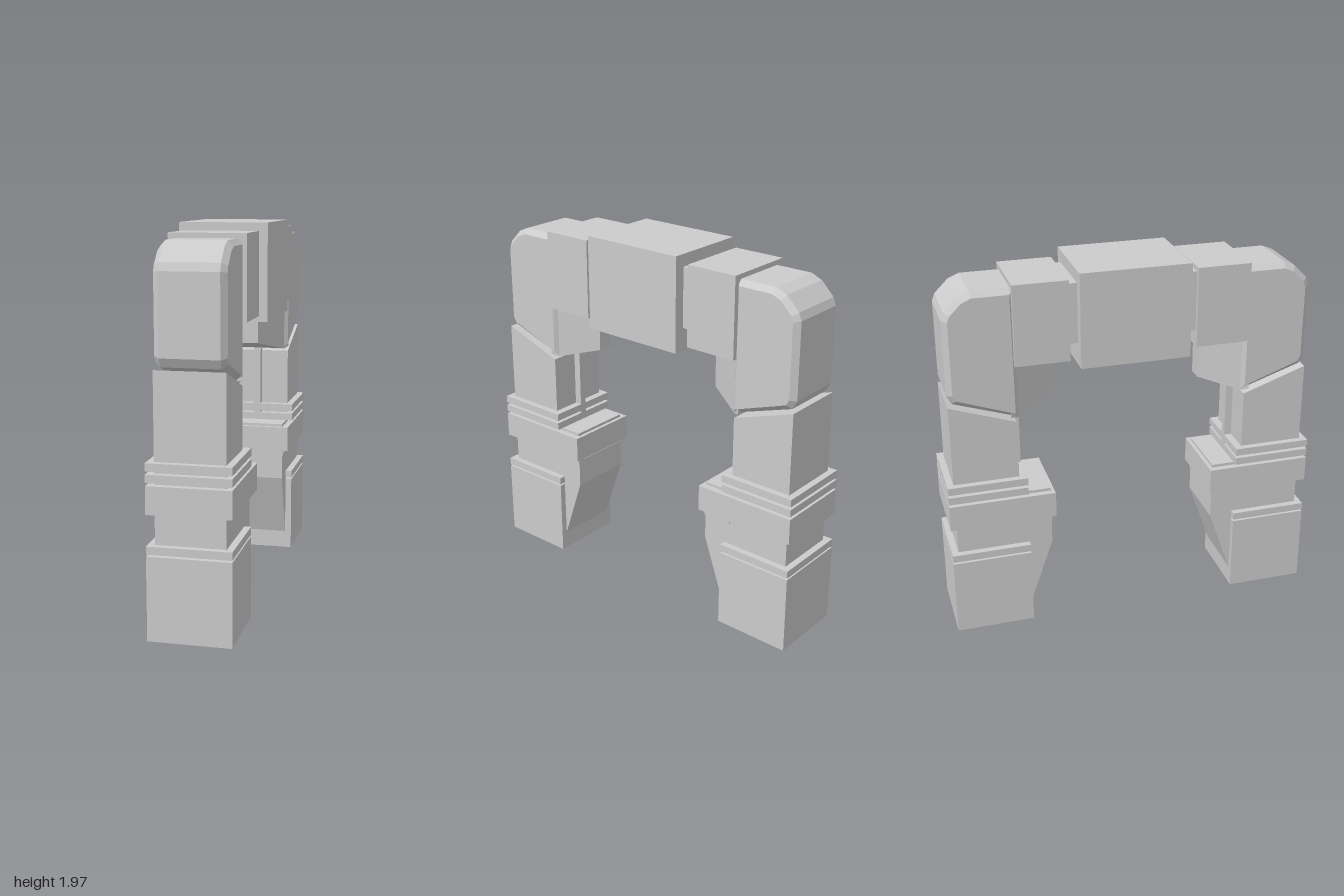
import * as THREE from 'three';
import { ConvexGeometry } from 'three/addons/geometries/ConvexGeometry.js';

const material = new THREE.MeshStandardMaterial({ color: 0xcccccc, flatShading: true });

function add(parent, name, geometry) {
  const mesh = new THREE.Mesh(geometry, material);
  mesh.name = name;
  parent.add(mesh);
  return mesh;
}

// Box centred on x, given by its half width and its y and z ranges
function block(parent, name, halfX, y0, y1, z0, z1) {
  const geometry = new THREE.BoxGeometry(halfX * 2, y1 - y0, z1 - z0);
  geometry.translate(0, (y0 + y1) / 2, (z0 + z1) / 2);
  return add(parent, name, geometry);
}

// Side profile of [z, y] points, extruded across x with an optional bevel
function profile(parent, name, points, halfX, bevel = 0) {
  const shape = new THREE.Shape(points.map(([z, y]) => new THREE.Vector2(z, y)));
  const depth = (halfX - bevel) * 2;
  const geometry = new THREE.ExtrudeGeometry(shape, {
    depth,
    bevelEnabled: bevel > 0,
    bevelThickness: bevel,
    bevelSize: bevel,
    bevelOffset: -bevel,
    bevelSegments: 1,
  });
  geometry.translate(0, 0, -depth / 2);
  geometry.rotateY(-Math.PI / 2);
  return add(parent, name, geometry);
}

function createLeg() {
  const leg = new THREE.Group();

  // Foot and column with a slanted top
  block(leg, 'foot', 0.21, 0, 0.425, 0.58, 1);
  profile(leg, 'column', [[0.62, 0.3], [0.965, 0.3], [0.965, 1.315], [0.62, 1.195]], 0.175);
  block(leg, 'columnRib', 0.02, 0.75, 1.21, 0.58, 0.63);

  // Bands around the column
  for (const [y0, y1] of [[0.435, 0.475], [0.785, 0.825], [0.84, 0.88]]) {
    block(leg, 'band', 0.21, y0, y1, 0.58, 1);
  }
  block(leg, 'collarRing', 0.21, 0.63, 0.77, 0.435, 1);
  block(leg, 'ringPlate', 0.175, 0.76, 0.785, 0.455, 0.65);

  // Tapered bracket on the inner side
  profile(leg, 'bracket',
    [[0.58, 0.1], [0.65, 0.1], [0.65, 0.64], [0.455, 0.64], [0.455, 0.46]], 0.175);
  block(leg, 'bracketStrip', 0.18, 0.592, 0.613, 0.453, 0.615);

  // Bevelled elbow
  profile(leg, 'elbow', [
    [0.6, 1.21], [0.94, 1.325], [0.965, 1.37], [0.965, 1.77],
    [0.95, 1.81], [0.88, 1.88], [0.82, 1.905], [0.6, 1.905],
  ], 0.175, 0.028);

  // Wedge narrowing towards the middle of the arch
  const corners = [];
  for (const [z, halfX, bottom] of [[0.645, 0.175, 1.222], [0.61, 0.156, 1.21], [0.4, 0.04, 1.265]]) {
    for (const side of [-1, 1]) {
      for (const y of [bottom, 1.88]) corners.push(new THREE.Vector3(side * halfX, y, z));
    }
  }
  add(leg, 'elbowWedge', new ConvexGeometry(corners));

  block(leg, 'elbowCollar', 0.195, 1.505, 1.93, 0.335, 0.62);
  return leg;
}

export function createModel() {
  const model = new THREE.Group();
  model.name = 'arch';

  // Crossbeam
  block(model, 'crossbeam', 0.23, 1.47, 1.97, -0.29, 0.29);
  block(model, 'beamCore', 0.172, 1.59, 1.905, -0.345, 0.345);

  // Two opposite legs
  ['frontLeg', 'backLeg'].forEach((name, i) => {
    const leg = createLeg();
    leg.name = name;
    leg.rotation.y = i * Math.PI;
    model.add(leg);
  });
  return model;
}
